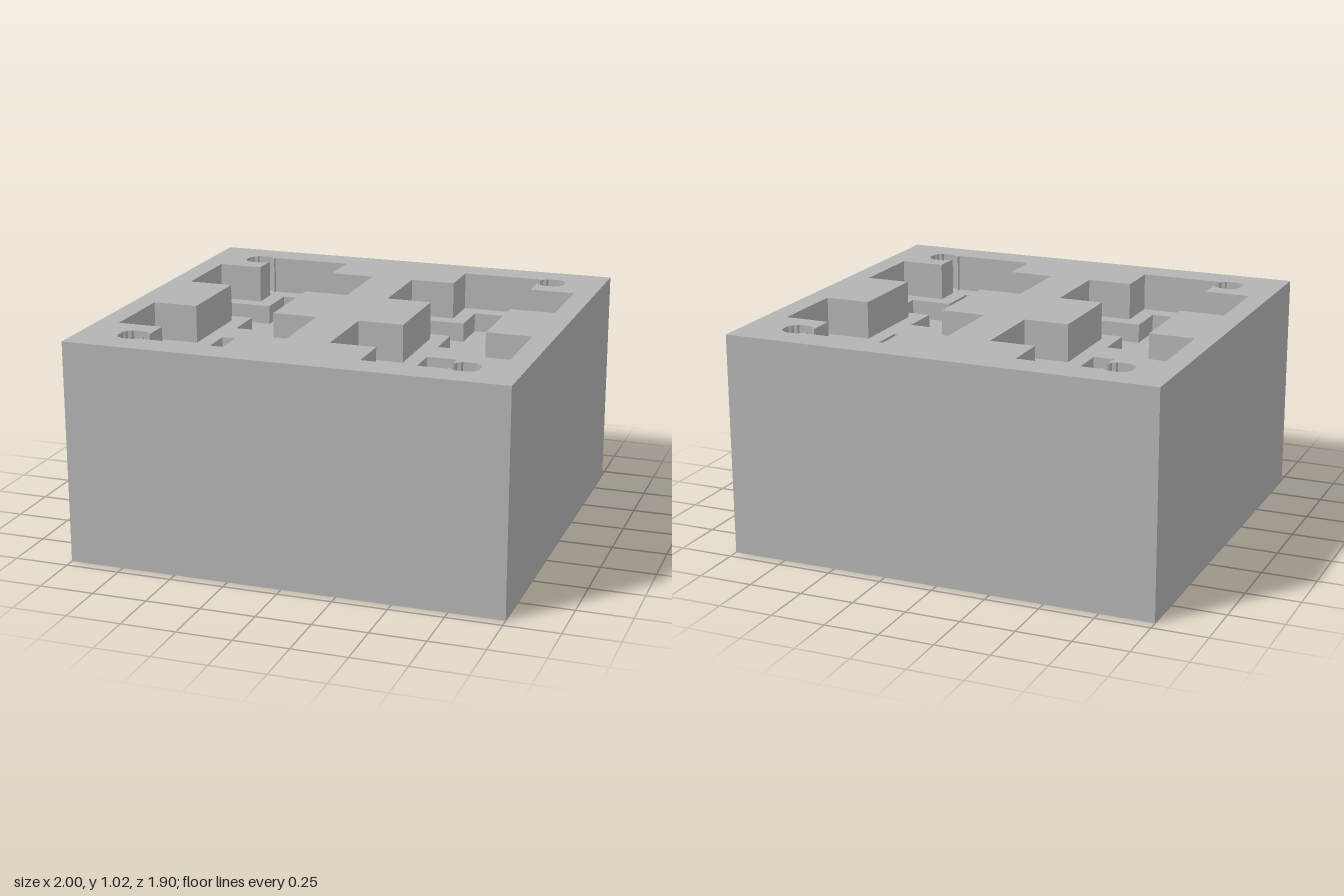
import * as THREE from 'three';

const W = 1, D = 0.95, TOP = 1.02, FLOOR = 0.845, DEEP = 0.755;

const grey = new THREE.MeshStandardMaterial({ color: 0xb3b3b3 });
grey.name = 'plain grey';

const flip = (pts, sx, sy) => {
  const out = pts.map(([x, y]) => [x * sx, y * sy]);
  return sx * sy < 0 ? out.reverse() : out; // keep counter-clockwise
};

// Horizontal face at height y, with optional holes
function plate(outline, holes, y, down = false) {
  const shape = new THREE.Shape(outline.map(p => new THREE.Vector2(...p)));
  shape.holes = holes.map(h => new THREE.Path(h.map(p => new THREE.Vector2(...p))));
  const g = new THREE.ShapeGeometry(shape);
  g.rotateX(down ? Math.PI / 2 : -Math.PI / 2);
  return g.translate(0, y, 0);
}

// Vertical wall along a closed outline; inward walls line a pocket
function wall(outline, y0, y1, inward = false) {
  const pts = inward ? [...outline].reverse() : outline;
  const v = [];
  pts.forEach(([ax, ay], i) => {
    const [bx, by] = pts[(i + 1) % pts.length];
    v.push(ax, y0, -ay, bx, y0, -by, bx, y1, -by);
    v.push(ax, y0, -ay, bx, y1, -by, ax, y1, -ay);
  });
  const g = new THREE.BufferGeometry();
  g.setAttribute('position', new THREE.Float32BufferAttribute(v, 3));
  g.computeVertexNormals();
  return g;
}

// Stepped round corner hole, opening into the pocket on its inner side
function cornerHole() {
  const step = [[0.03, -0.065], [0.036, -0.055], [0.052, -0.052], [0.055, -0.036], [0.065, -0.03]];
  const c = 0.753;
  const right = [...step, ...flip(step, 1, -1)];
  const left = flip(step, -1, 1);
  const ring = [...left, ...right, ...flip(step, -1, -1)].map(([x, y]) => [c + x, c - 0.003 + y]);
  ring[0][0] = ring[ring.length - 1][0] = 0.69;
  return ring;
}

// Double-cross pocket on the +x side
function pocketOutline() {
  const half = [
    [0.69, 0.21], [0.9, 0.21], [0.9, 0.59], [0.69, 0.59],
    ...cornerHole(),
    [0.69, 0.8], [0.31, 0.8], [0.31, 0.59], [0.1, 0.59], [0.1, 0.21], [0.31, 0.21],
  ];
  return [...half, ...flip(half, 1, -1)];
}

// Inner cross, centred at (0.5, 0.4)
function crossOutline() {
  const a = 0.115, b = 0.315;
  return [
    [b, -a], [b, a], [a, a], [a, b], [-a, b], [-a, a],
    [-b, a], [-b, -a], [-a, -a], [-a, -b], [a, -b], [a, -a],
  ].map(([x, y]) => [0.5 + x, 0.4 + y]);
}

export function createModel() {
  const model = new THREE.Group();
  model.name = 'pocketedBlock';
  const add = (parent, name, geometry) => {
    const mesh = new THREE.Mesh(geometry, grey);
    mesh.name = name;
    parent.add(mesh);
  };

  const rect = [[-W, -D], [W, -D], [W, D], [-W, D]];
  const pocket = pocketOutline(), cross = crossOutline();

  // Outer block
  add(model, 'blockSides', wall(rect, 0, TOP));
  add(model, 'blockBase', plate(rect, [], 0, true));
  add(model, 'blockTop', plate(rect, [pocket, flip(pocket, -1, 1)], TOP));

  // Left and right pockets, each with two deeper crosses
  for (const sx of [1, -1]) {
    const group = new THREE.Group();
    group.name = sx > 0 ? 'leftPocket' : 'rightPocket';
    model.add(group);
    const outline = flip(pocket, sx, 1);
    const crosses = [1, -1].map(sy => flip(cross, sx, sy));
    add(group, 'pocketWall', wall(outline, FLOOR, TOP, true));
    add(group, 'pocketFloor', plate(outline, crosses, FLOOR));
    for (const c of crosses) {
      add(group, 'crossWall', wall(c, DEEP, FLOOR, true));
      add(group, 'crossFloor', plate(c, [], DEEP));
    }
  }
  return model;
}
